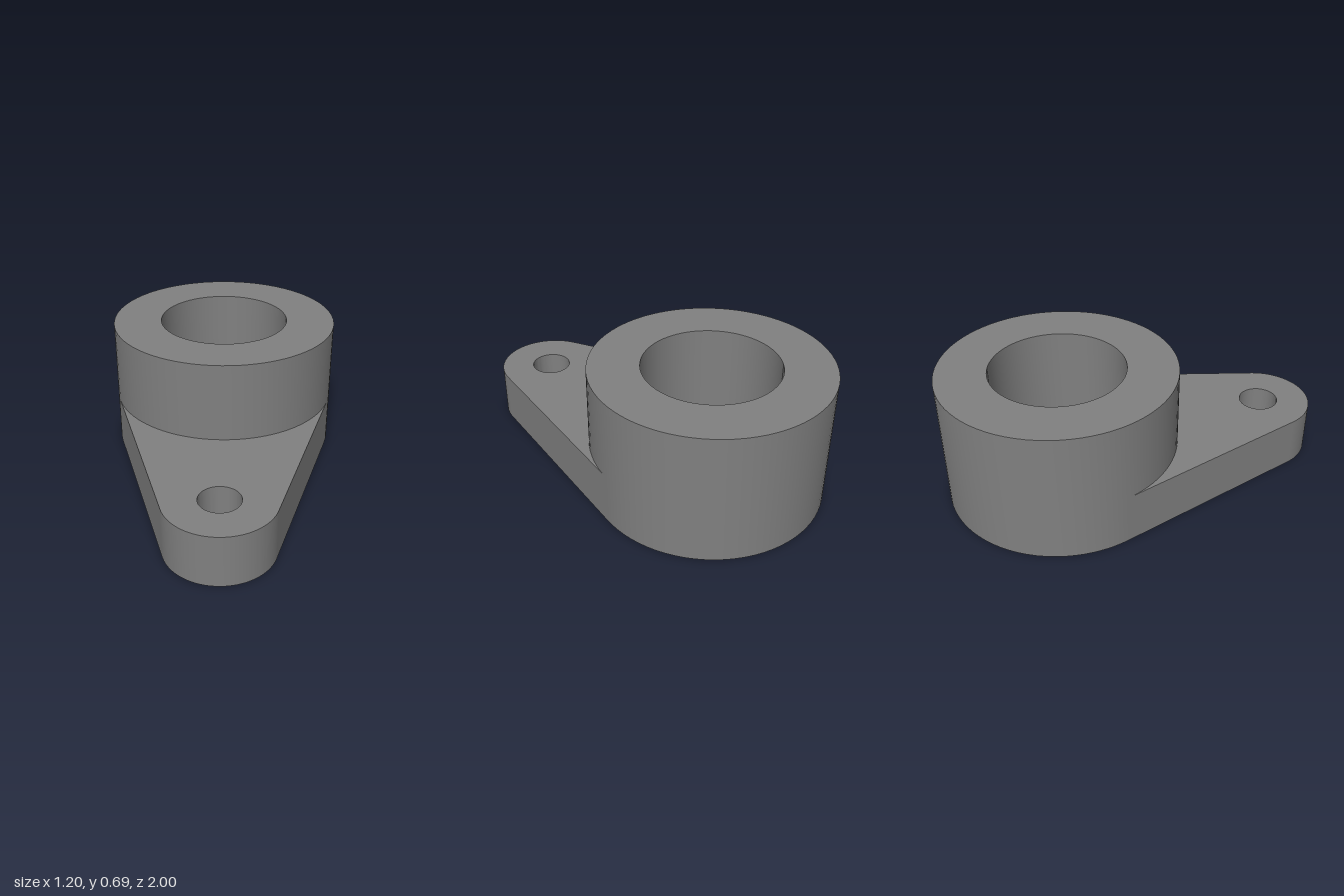
import * as THREE from 'three';
import { toCreasedNormals } from 'three/addons/utils/BufferGeometryUtils.js';

const BOSS = { z: -0.4, r: 0.6, hole: 0.343, height: 0.685 };
const TIP = { z: 0.722, r: 0.275, hole: 0.103 };
const ARM_HEIGHT = 0.268;

// Shapes are drawn as (x, z) and extruded upwards from y = 0
function extrudeUp(shape, height) {
  const geometry = new THREE.ExtrudeGeometry(shape, { depth: height, bevelEnabled: false, curveSegments: 40 });
  geometry.rotateX(Math.PI / 2).translate(0, height, 0);
  return toCreasedNormals(geometry, 0.5);
}

function addHole(shape, z, r) {
  shape.holes.push(new THREE.Path().absarc(0, z, r, 0, Math.PI * 2, true));
}

export function createModel() {
  const group = new THREE.Group();
  const grey = new THREE.MeshStandardMaterial({ name: 'grey', color: 0x808080 });

  function add(name, shape, height) {
    const mesh = new THREE.Mesh(extrudeUp(shape, height), grey);
    mesh.name = name;
    group.add(mesh);
  }

  // Tall bored ring
  const ring = new THREE.Shape().absarc(0, BOSS.z, BOSS.r, 0, Math.PI * 2, false);
  addHole(ring, BOSS.z, BOSS.hole);
  add('bossRing', ring, BOSS.height);

  // Low arm with sides tangent to the ring and to the rounded tip
  const a = Math.asin((BOSS.r - TIP.r) / (TIP.z - BOSS.z));
  const arm = new THREE.Shape();
  arm.absarc(0, TIP.z, TIP.r, a, Math.PI - a, false);
  arm.absarc(0, BOSS.z, BOSS.r, Math.PI - a, a, true);
  arm.closePath();
  addHole(arm, TIP.z, TIP.hole);
  add('leverArm', arm, ARM_HEIGHT);

  return group;
}
